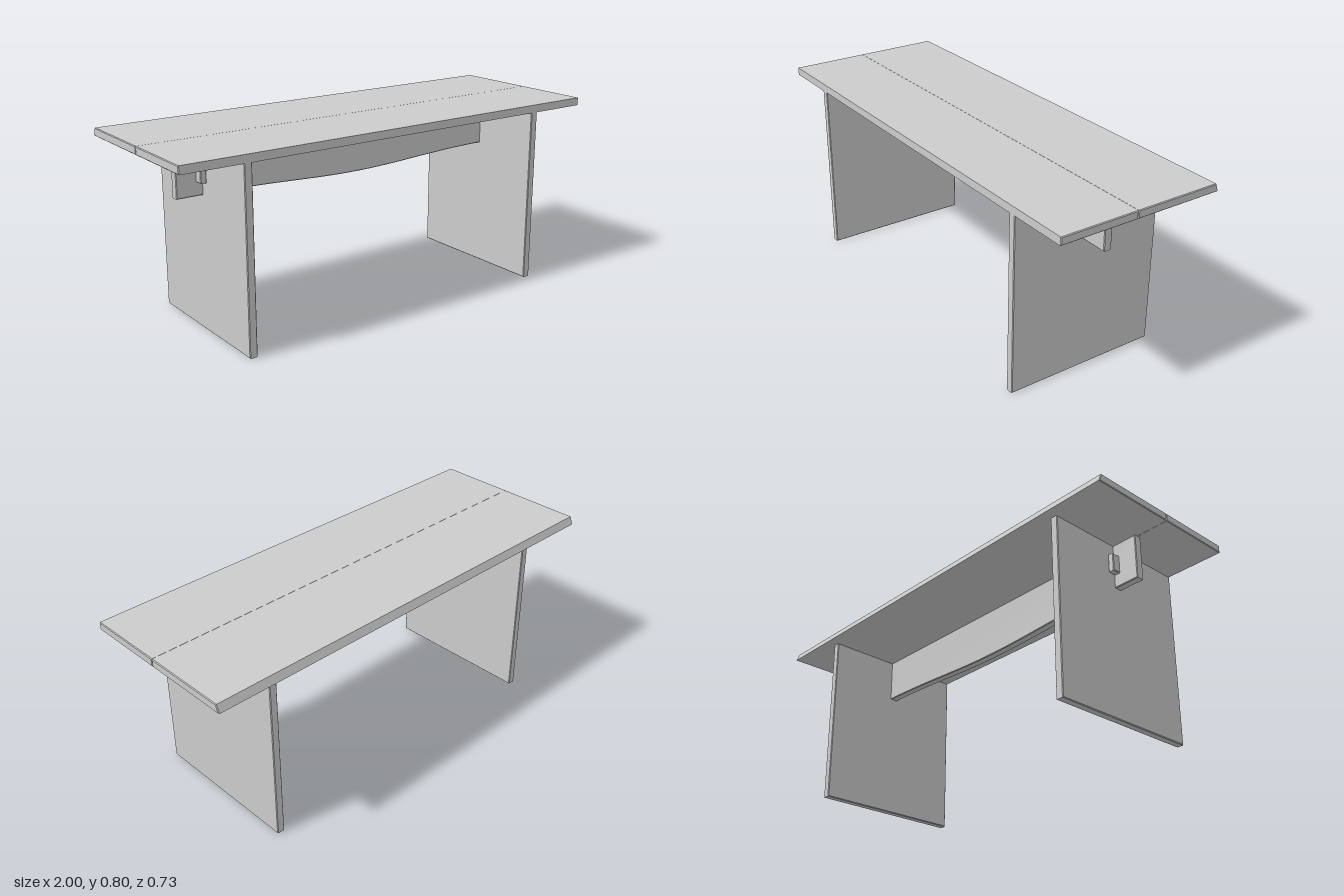
import * as THREE from 'three';

const material = new THREE.MeshStandardMaterial({ color: 0xcccccc });
const EDGE = 0.003; // small chamfer on every board

// Extrude an outline into a board with chamfered edges, centred on its depth
function board(shape, depth) {
  const geo = new THREE.ExtrudeGeometry(shape, {
    depth: depth - 2 * EDGE, curveSegments: 24, bevelEnabled: true,
    bevelSegments: 1, bevelSize: EDGE, bevelOffset: -EDGE, bevelThickness: EDGE,
  });
  return geo.translate(0, 0, EDGE - depth / 2);
}

// Board running along x, from a side profile of [z, y] points
function sideBoard(points, width) {
  const shape = new THREE.Shape(points.map(([z, y]) => new THREE.Vector2(-z, y)));
  return board(shape, width).rotateY(Math.PI / 2);
}

const rect = (z0, z1, y0, y1) => [[z1, y0], [z0, y0], [z0, y1], [z1, y1]];

export function createModel() {
  const group = new THREE.Group();
  const add = (name, geo, x = 0, y = 0, z = 0) => {
    const mesh = new THREE.Mesh(geo, material);
    mesh.name = name;
    mesh.position.set(x, y, z);
    group.add(mesh);
  };

  // Seat: two long planks, the rear one bevelled along its back edge
  add('frontPlank', sideBoard(rect(0.024, 0.364, 0.764, 0.798), 2));
  add('backPlank', sideBoard(
    [[0.023, 0.764], [-0.364, 0.764], [-0.351, 0.798], [0.023, 0.798]], 2));

  // Stretcher: upright board with a gently bellied lower edge
  const s = new THREE.Shape();
  s.moveTo(-0.853, 0.764);
  s.lineTo(-0.853, 0.57);
  s.lineTo(-0.74, 0.57);
  s.bezierCurveTo(-0.4, 0.57, -0.25, 0.546, 0, 0.546);
  s.bezierCurveTo(0.25, 0.546, 0.4, 0.57, 0.74, 0.57);
  s.lineTo(0.853, 0.57);
  s.lineTo(0.853, 0.764);
  s.closePath();
  add('stretcher', board(s, 0.036), 0, 0, 0.024);

  // Panel legs, and the wedges that lock the stretcher outside them
  for (const [side, sign] of [['left', 1], ['right', -1]]) {
    add(side + 'Leg', sideBoard(rect(-0.317, 0.364, 0, 0.764), 0.034), sign * 0.723);
    add(side + 'Wedge', sideBoard(rect(-0.03, 0.078, 0.626, 0.705), 0.026), sign * 0.754);
  }
  return group;
}
